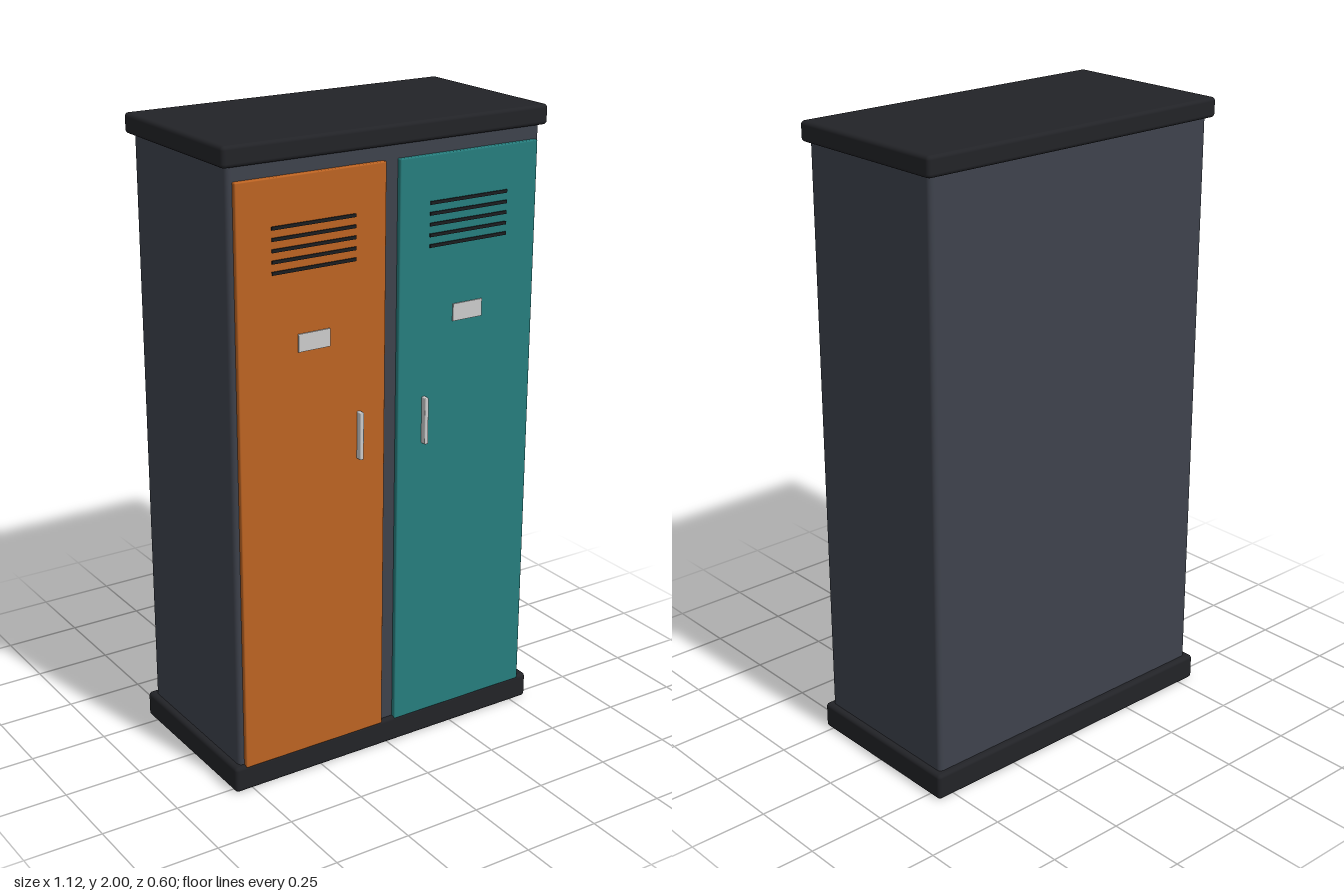
import * as THREE from 'three';
import { RoundedBoxGeometry } from 'three/addons/geometries/RoundedBoxGeometry.js';

const paint = (color) => new THREE.MeshStandardMaterial({ color });

// Box given by its minimum and maximum corners; a radius rounds the edges
function block(name, min, max, material, radius = 0) {
  const size = max.map((v, i) => v - min[i]);
  const geometry = radius
    ? new RoundedBoxGeometry(...size, 2, radius)
    : new THREE.BoxGeometry(...size);
  const mesh = new THREE.Mesh(geometry, material);
  mesh.name = name;
  mesh.position.set(...max.map((v, i) => (v + min[i]) / 2));
  return mesh;
}

export function createModel() {
  const model = new THREE.Group();
  model.name = 'doubleLocker';

  const steel = paint(0x3e424c);
  const dark = paint(0x222327);
  const slotBlack = paint(0x1b1d20);
  const metal = paint(0xcccccc);

  // Cabinet with plinth and top cap
  model.add(
    block('cabinet', [-0.54, 0.06, -0.28], [0.54, 1.96, 0.265], steel, 0.015),
    block('plinth', [-0.56, 0, -0.3], [0.56, 0.085, 0.28], dark, 0.012),
    block('topCap', [-0.56, 1.938, -0.3], [0.56, 2, 0.28], dark, 0.012)
  );

  // Two doors, mirrored about the middle, hinged on the outer sides
  const doors = [
    { side: -1, name: 'rightDoor', color: 0xbc6322 },
    { side: 1, name: 'leftDoor', color: 0x267d7d }
  ];
  for (const { side, name, color } of doors) {
    const door = new THREE.Group();
    door.name = name;
    const part = (label, x0, x1, y0, y1, z0, z1, material, radius) => {
      const [a, b] = [side * x0, side * x1].sort((p, q) => p - q);
      door.add(block(label, [a, y0, z0], [b, y1, z1], material, radius));
    };

    part('doorPanel', 0.024, 0.523, 0.078, 1.897, 0.255, 0.28, paint(color), 0.004);
    part('namePlate', 0.219, 0.326, 1.381, 1.435, 0.275, 0.284, metal);
    part('handle', 0.111, 0.124, 1.01, 1.16, 0.275, 0.3, metal, 0.003);

    // Ventilation slots
    for (let i = 0; i < 5; i++) {
      const y = 1.626 + i * 0.0323;
      part('ventSlot', 0.13, 0.41, y - 0.005, y + 0.005, 0.275, 0.284, slotBlack);
    }
    model.add(door);
  }
  return model;
}
